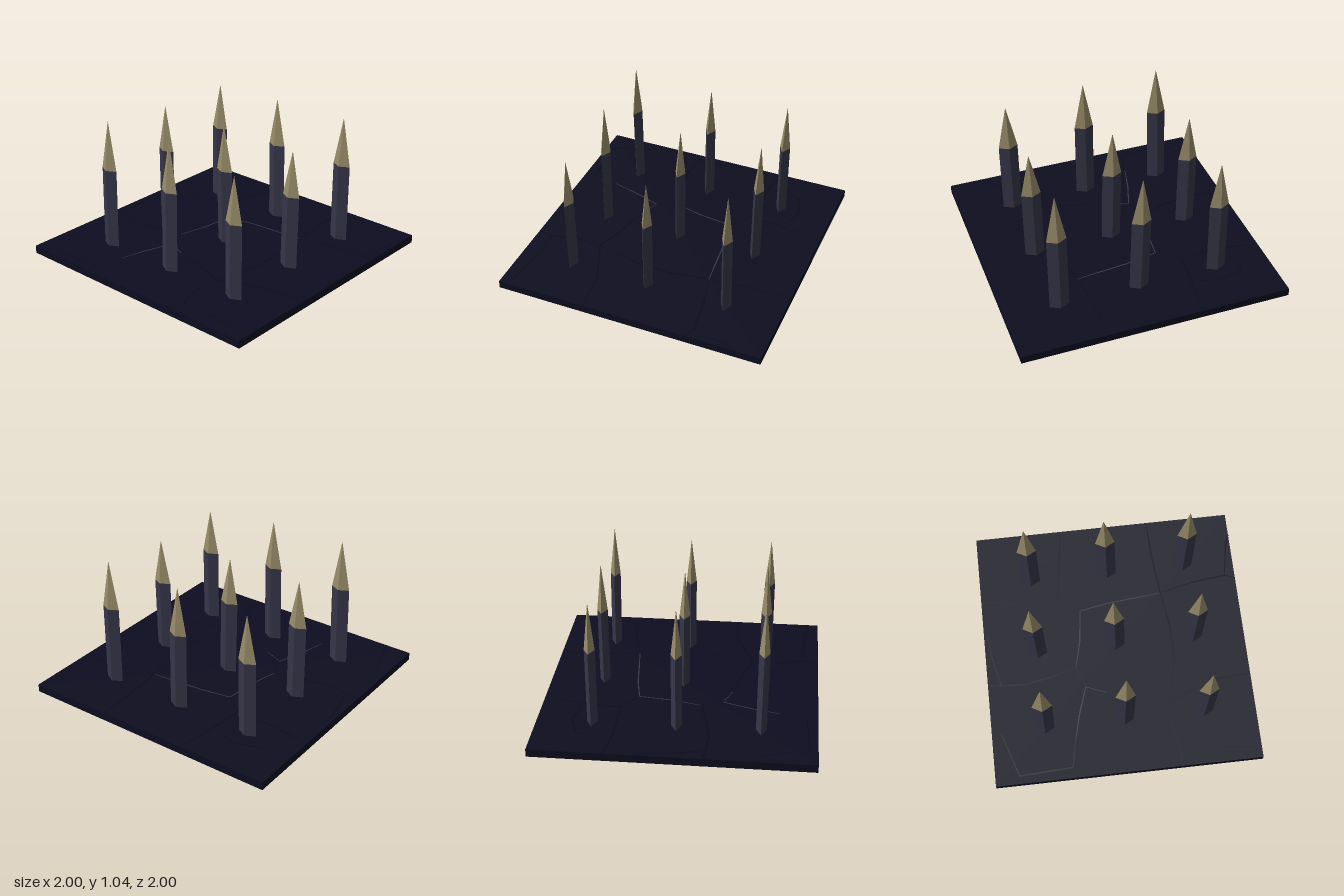
import * as THREE from 'three';

const mat = (name, color, extra = {}) => {
  const m = new THREE.MeshStandardMaterial({ color, ...extra });
  m.name = name;
  return m;
};

const BASE_TOP = 0.06;

export function createModel() {
  const stone = mat('darkStone', 0x0d0d20);
  const groove = mat('grooveStone', 0x090919, { side: THREE.DoubleSide });
  const edge = mat('slabEdge', 0x353547, { side: THREE.DoubleSide });
  const iron = mat('darkIron', 0x353548);
  const bone = mat('paleTip', 0x978b68);

  const model = new THREE.Group();
  model.name = 'spikeTrap';
  const add = (parent, name, geo, material) => {
    const mesh = new THREE.Mesh(geo, material);
    mesh.name = name;
    parent.add(mesh);
    return mesh;
  };

  // Stone floor slab
  add(model, 'floorSlab', new THREE.BoxGeometry(2, BASE_TOP - 0.001, 2), stone)
    .position.y = (BASE_TOP - 0.001) / 2;

  // Thin flat line following [x, z] points, tapering at both ends
  const ribbon = (points, width) => {
    const pos = [], idx = [];
    points.forEach(([x, z], i) => {
      const a = points[Math.max(i - 1, 0)], b = points[Math.min(i + 1, points.length - 1)];
      const len = Math.hypot(b[0] - a[0], b[1] - a[1]);
      const end = i === 0 || i === points.length - 1;
      const w = width * (end ? 0.25 : 0.5);
      const nx = (b[1] - a[1]) / len * w, nz = -(b[0] - a[0]) / len * w;
      pos.push(x + nx, BASE_TOP, z + nz, x - nx, BASE_TOP, z - nz);
      if (i) {
        const k = i * 2;
        idx.push(k - 2, k, k - 1, k - 1, k, k + 1);
      }
    });
    const geo = new THREE.BufferGeometry();
    geo.setAttribute('position', new THREE.Float32BufferAttribute(pos, 3));
    geo.setIndex(idx);
    geo.computeVertexNormals();
    return geo;
  };

  // Raised slab edges that catch the light
  [
    [[-0.32, 0.15], [-0.27, -0.05], [-0.24, -0.31], [-0.02, -0.35], [0.2, -0.37], [0.4, -0.39]],
    [[-0.38, 0.72], [-0.33, 0.52], [-0.26, 0.31], [-0.11, 0.37]],
  ].forEach((p) => add(model, 'slabEdge', ribbon(p, 0.01), edge));

  // Joints between the paving slabs
  [
    [[-0.33, -0.98], [-0.38, -0.62], [-0.4, -0.43], [-0.24, -0.31]],
    [[-1, -0.47], [-0.75, -0.43], [-0.4, -0.43]],
    [[0.36, -1], [0.37, -0.7], [0.4, -0.39], [0.44, -0.1], [0.44, 0.15], [0.36, 0.5]],
    [[0.4, -0.39], [0.65, -0.45], [0.92, -0.48], [1, -0.45]],
    [[0.92, -0.48], [0.97, -0.75], [1, -0.82]],
    [[-1, 0.22], [-0.72, 0.24], [-0.5, 0.2], [-0.32, 0.15]],
    [[-0.97, -0.2], [-0.95, 0], [-0.9, 0.22]],
    [[-0.32, 0.15], [-0.26, 0.31]],
    [[-0.11, 0.37], [0.15, 0.43], [0.36, 0.5], [0.7, 0.36], [1, 0.34]],
    [[0.36, 0.5], [0.35, 0.7], [0.4, 0.88], [0.38, 1]],
    [[0.4, 0.88], [0.7, 0.89], [1, 0.92]],
    [[-0.38, 0.72], [-0.42, 0.92], [-0.82, 0.94], [-0.93, 0.6]],
    [[-0.78, -0.6], [-0.77, -0.69], [-0.58, -0.75], [-0.42, -0.7]],
  ].forEach((p) => add(model, 'slabJoint', ribbon(p, 0.013), groove));

  // Four-sided diamond section from y0 to y1, sheared along the spike's lean
  const section = (topR, y0, y1, lean) => {
    let geo = new THREE.CylinderGeometry(topR, 0.073, y1 - y0, 4);
    geo.scale(1, 1, 0.53);
    geo.translate(0, (y0 + y1) / 2, 0);
    const p = geo.attributes.position;
    for (let i = 0; i < p.count; i++) {
      const t = p.getY(i) - BASE_TOP;
      p.setX(i, p.getX(i) + lean[0] * t);
      p.setZ(i, p.getZ(i) + lean[1] * t);
    }
    geo = geo.toNonIndexed();
    geo.computeVertexNormals();
    return geo;
  };

  // Spikes: x, z, height, then lean along x and z
  [
    [-0.6, -0.6, 0.99, 0.01, -0.005], [0, -0.6, 1.01, -0.015, -0.005], [0.6, -0.6, 1.02, 0.01, 0.005],
    [-0.6, 0, 0.98, -0.005, 0], [0, 0, 0.98, -0.015, 0.005], [0.6, 0, 0.95, 0.015, -0.005],
    [-0.6, 0.6, 1.04, 0.02, 0.008], [0, 0.6, 1.04, 0.01, -0.005], [0.6, 0.6, 0.965, 0.01, 0.005],
  ].forEach(([x, z, h, lx, lz]) => {
    const spike = new THREE.Group();
    spike.name = 'spike';
    spike.position.set(x, 0, z);
    const neck = BASE_TOP + (h - BASE_TOP) * 0.62;
    add(spike, 'spikeShaft', section(0.073, BASE_TOP - 0.02, neck, [lx, lz]), iron);
    add(spike, 'spikeTip', section(0.001, neck, h, [lx, lz]), bone);
    model.add(spike);
  });

  return model;
}
